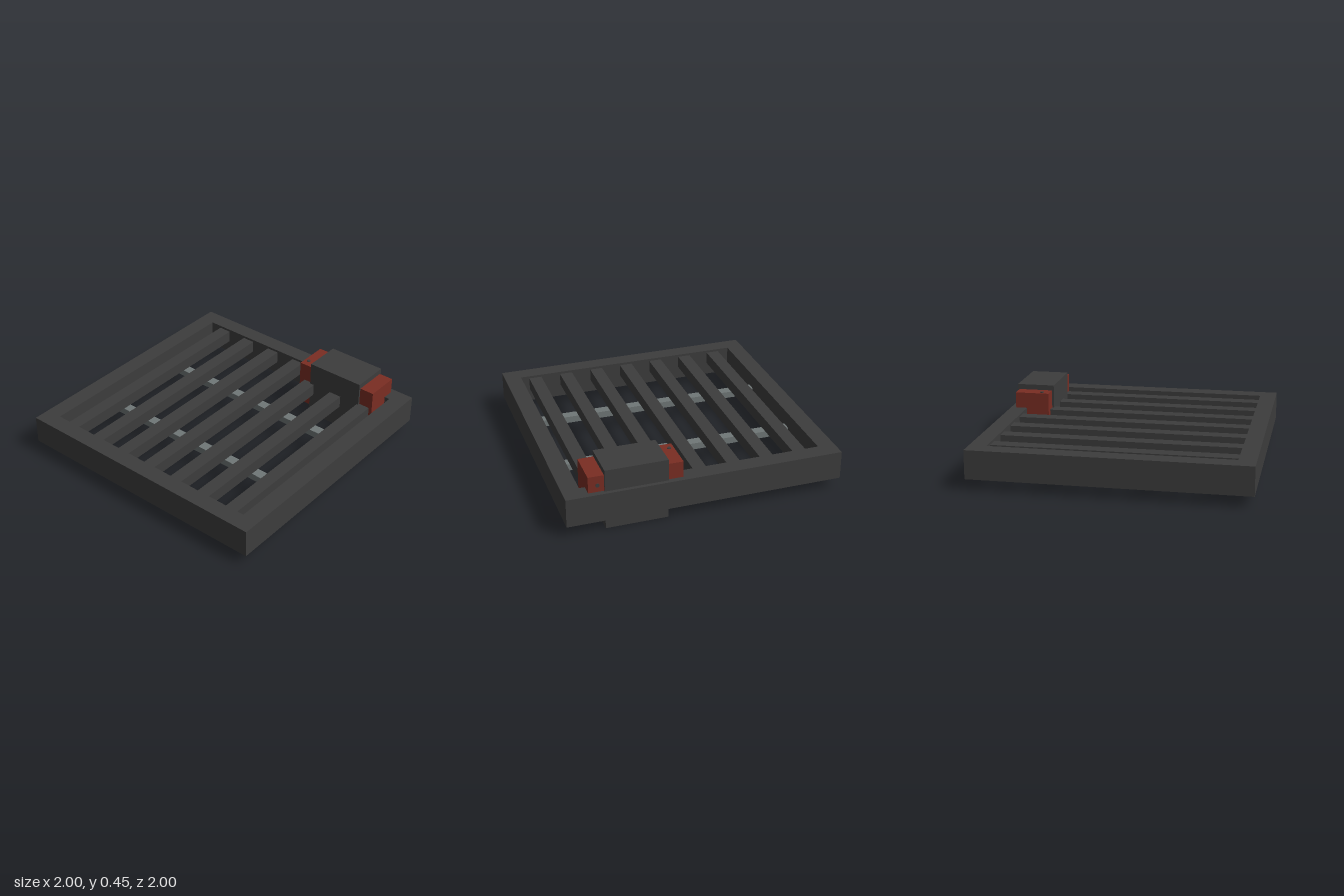
import * as THREE from 'three';

const dark = new THREE.MeshStandardMaterial({ name: 'charcoal', color: 0x3d3d3d });
const red = new THREE.MeshStandardMaterial({ name: 'rust red', color: 0x7a2d23 });
const grey = new THREE.MeshStandardMaterial({ name: 'steel grey', color: 0x707777 });

// Box given by its minimum and maximum on each axis
function box(name, material, [x0, x1], [y0, y1], [z0, z1]) {
  const mesh = new THREE.Mesh(new THREE.BoxGeometry(x1 - x0, y1 - y0, z1 - z0), material);
  mesh.position.set((x0 + x1) / 2, (y0 + y1) / 2, (z0 + z1) / 2);
  mesh.name = name;
  return mesh;
}

function square(path, h) {
  path.moveTo(-h, -h);
  path.lineTo(h, -h);
  path.lineTo(h, h);
  path.lineTo(-h, h);
  path.closePath();
  return path;
}

// Thin round screw head
function screw(name, x, y, z) {
  const mesh = new THREE.Mesh(new THREE.CylinderGeometry(0.014, 0.014, 0.008, 16), dark);
  mesh.position.set(x, y, z);
  mesh.name = name;
  return mesh;
}

export function createModel() {
  const model = new THREE.Group();
  model.name = 'slattedGrate';

  // Square outer frame, open in the middle
  const outline = square(new THREE.Shape(), 1);
  outline.holes.push(square(new THREE.Path(), 0.875));
  const frameGeometry = new THREE.ExtrudeGeometry(outline, { depth: 0.21, bevelEnabled: false });
  frameGeometry.rotateX(-Math.PI / 2);
  const frame = new THREE.Mesh(frameGeometry, dark);
  frame.position.y = 0.08;
  frame.name = 'frame';
  model.add(frame);

  // Seven cross slats, slightly below the frame's top
  const slats = new THREE.Group();
  slats.name = 'slats';
  for (let i = -3; i <= 3; i++) {
    const z = 0.01 + i * 0.25;
    slats.add(box('slat', dark, [-0.875, 0.875], [0.18, 0.272], [z - 0.049, z + 0.049]));
  }
  model.add(slats);

  // Two support bars under the slats
  for (const x of [-0.353, 0.335]) {
    model.add(box('supportBar', grey, [x - 0.036, x + 0.036], [0.13, 0.18], [-0.875, 0.875]));
  }

  // Latch straddling the frame: dark sleeve around a longer red core
  const latch = new THREE.Group();
  latch.name = 'latch';
  latch.add(
    box('latchSleeve', dark, [0.685, 0.973], [0, 0.45], [0.275, 0.723]),
    box('latchCore', red, [0.70, 0.96], [0.065, 0.41], [0.165, 0.835]),
    screw('topScrew', 0.76, 0.411, 0.2)
  );
  const side = screw('sideScrew', 0.961, 0.34, 0.77);
  side.rotation.z = Math.PI / 2;
  latch.add(side);
  model.add(latch);

  return model;
}
